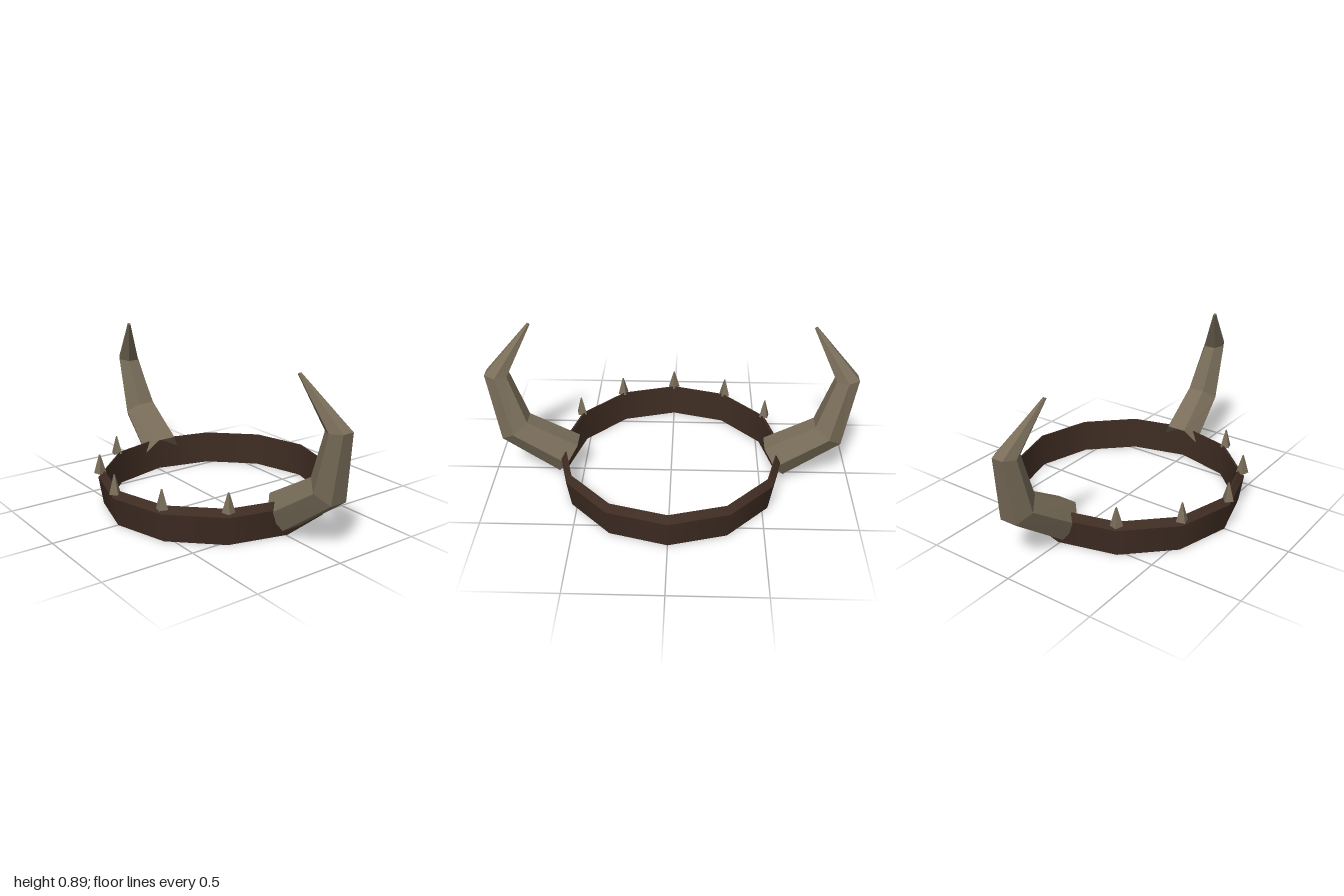
import * as THREE from 'three';

const hornMat = new THREE.MeshStandardMaterial({ color: 0x7a6e5a, flatShading: true, side: THREE.DoubleSide });
hornMat.name = 'horn bone';
const bandMat = new THREE.MeshStandardMaterial({ color: 0x3f2d23, side: THREE.DoubleSide });
bandMat.name = 'dark leather';

const RX = 0.965, CZ = -0.01; // band is slightly oval and set back

// Twelve-sided band; each strip of the profile is its own lathe so its edges stay crisp
function makeBand() {
  const band = new THREE.Group();
  band.name = 'headBand';
  const profile = [[0.625, 0.19], [0.622, 0], [0.635, 0], [0.66, 0.155], [0.632, 0.19], [0.625, 0.19]];
  const names = ['bandInside', 'bandUnderside', 'bandOutside', 'bandBevel', 'bandTop'];
  names.forEach((name, i) => {
    const pts = [profile[i], profile[i + 1]].map(([r, y]) => new THREE.Vector2(r, y));
    const geo = new THREE.LatheGeometry(pts, 12);
    geo.scale(RX, 1, 1);
    const strip = new THREE.Mesh(geo, bandMat);
    strip.name = name;
    band.add(strip);
  });
  band.position.z = CZ;
  return band;
}

// Horn stations: outer edge, inner edge, centre z, half width in z
const stations = [
  { out: [0.63, 0.04], inn: [0.52, 0.21], z: -0.018, r: 0.113 },
  { out: [0.93, 0.265], inn: [0.785, 0.37], z: -0.043, r: 0.098 },
  { out: [1.0, 0.64], inn: [0.88, 0.63], z: -0.015, r: 0.065 },
  { out: [0.769, 0.892], inn: [0.755, 0.883], z: 0.078, r: 0.009 },
];

// Six-sided horn skinned through the stations, with a hollowed root and closed tip
function makeHorn(side) {
  const pos = [], idx = [];
  const tri = (a, b, c) => (side > 0 ? idx.push(a, b, c) : idx.push(a, c, b));
  for (const { out, inn, z, r } of stations) {
    for (let k = 0; k < 6; k++) {
      const a = (k * Math.PI) / 3;
      const s = Math.sin(a) / Math.sin(Math.PI / 3) / 2;
      pos.push(
        side * ((out[0] + inn[0]) / 2 + (out[0] - inn[0]) * s),
        (out[1] + inn[1]) / 2 + (out[1] - inn[1]) * s,
        z + r * Math.cos(a)
      );
    }
  }
  const last = (stations.length - 1) * 6;
  const root = last + 6, tip = last + 7;
  pos.push(side * 0.63, 0.163, -0.018, side * 0.762, 0.8875, 0.078);
  for (let k = 0; k < 6; k++) {
    const n = (k + 1) % 6;
    for (let i = 0; i < last; i += 6) {
      tri(i + k, i + n, i + 6 + n);
      tri(i + k, i + 6 + n, i + 6 + k);
    }
    tri(root, n, k);
    tri(tip, last + k, last + n);
  }
  const geo = new THREE.BufferGeometry();
  geo.setAttribute('position', new THREE.Float32BufferAttribute(pos, 3));
  geo.setIndex(idx);
  const flat = geo.toNonIndexed();
  flat.computeVertexNormals();
  const horn = new THREE.Mesh(flat, hornMat);
  horn.name = side > 0 ? 'leftHorn' : 'rightHorn';
  return horn;
}

export function createModel() {
  const model = new THREE.Group();
  model.name = 'hornedCirclet';
  model.add(makeBand(), makeHorn(1), makeHorn(-1));

  // Small four-sided spikes on the front corners of the band
  const spikeGeo = new THREE.CylinderGeometry(0.004, 0.034, 0.105, 4);
  for (let i = -2; i <= 2; i++) {
    const a = (i * Math.PI) / 6;
    const spike = new THREE.Mesh(spikeGeo, hornMat);
    spike.name = 'spike' + (i + 3);
    spike.position.set(0.648 * RX * Math.sin(a), 0.2325, CZ + 0.648 * Math.cos(a));
    spike.rotation.y = a;
    model.add(spike);
  }
  return model;
}
